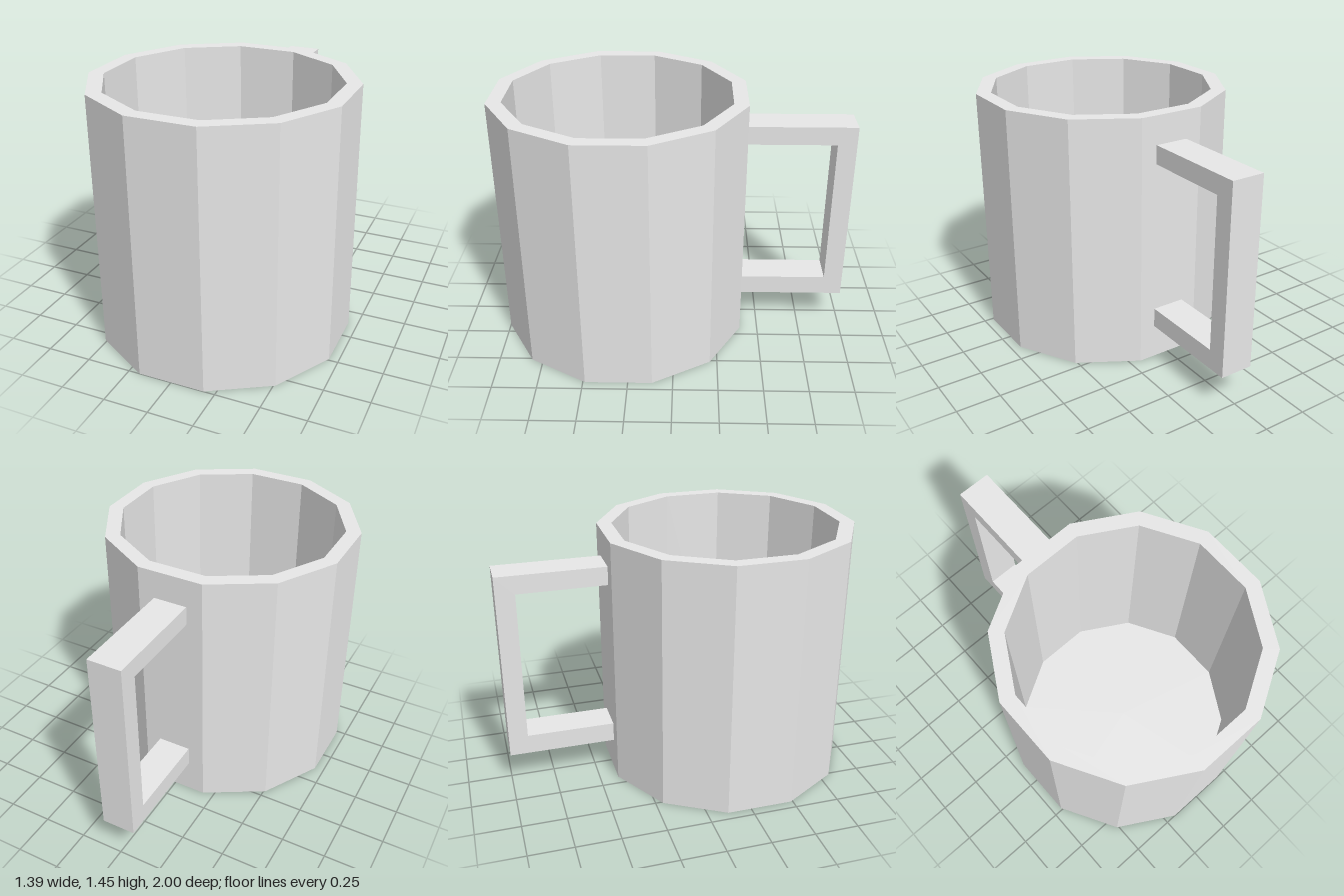
import * as THREE from 'three';

const SIDES = 12;
const HEIGHT = 1.445;
const CENTER_Z = 0.302;
const OUTER = 0.697, INNER = 0.616; // distance from axis to the flat faces
const FLOOR = 0.08;

// unshared vertices give every facet its own flat normal
function faceted(geometry) {
  const flat = geometry.index ? geometry.toNonIndexed() : geometry;
  flat.computeVertexNormals();
  return flat;
}

export function createModel() {
  const group = new THREE.Group();
  group.name = 'mug';
  const ceramic = new THREE.MeshStandardMaterial({ color: 0xe7e7e7 });
  ceramic.name = 'light grey ceramic';

  // Twelve-sided cup: underside, outer wall, rim, inner wall and floor
  const corner = 1 / Math.cos(Math.PI / SIDES);
  const profile = [
    [0, 0], [OUTER * corner, 0], [OUTER * corner, HEIGHT],
    [INNER * corner, HEIGHT], [INNER * corner, FLOOR], [0, FLOOR],
  ].map(([r, y]) => new THREE.Vector2(r, y));
  const cup = new THREE.Mesh(
    faceted(new THREE.LatheGeometry(profile, SIDES, Math.PI / SIDES)), ceramic);
  cup.name = 'cup';
  cup.position.z = CENTER_Z;
  group.add(cup);

  // Square bracket handle, drawn in side view and extruded across x
  const width = 0.19, wall = OUTER - CENTER_Z;
  const outline = [
    [wall, 0.2], [1, 0.2], [1, 1.285], [wall, 1.285],
    [wall, 1.18], [0.893, 1.18], [0.893, 0.313], [wall, 0.313],
  ].map(([u, y]) => new THREE.Vector2(u, y));
  const bracket = new THREE.ExtrudeGeometry(new THREE.Shape(outline), {
    depth: width, bevelEnabled: false,
  });
  bracket.translate(0, 0, -width / 2).rotateY(Math.PI / 2);
  const handle = new THREE.Mesh(faceted(bracket), ceramic);
  handle.name = 'handle';
  group.add(handle);

  return group;
}
